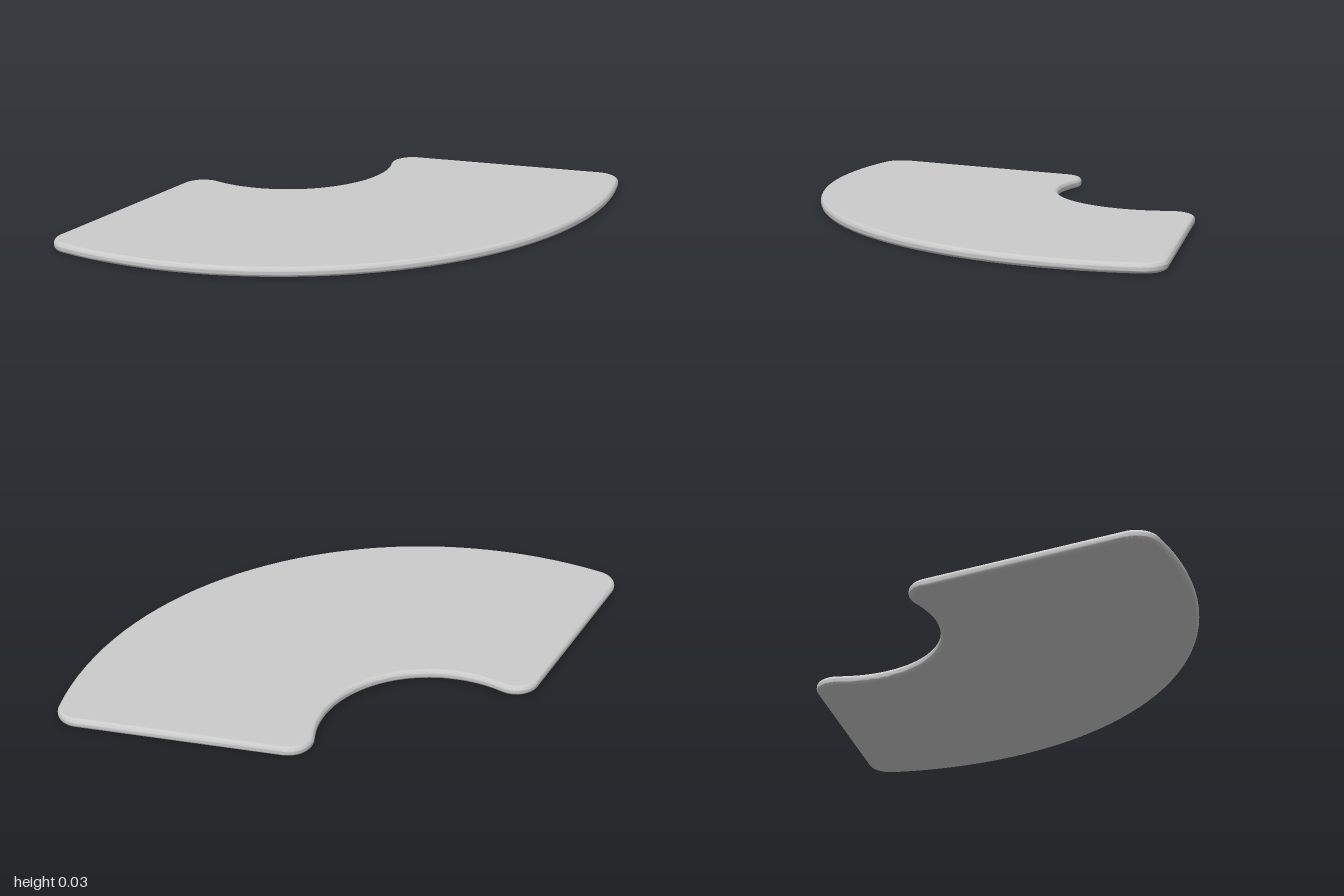
import * as THREE from 'three';
import { toCreasedNormals } from 'three/addons/utils/BufferGeometryUtils.js';

const HEIGHT = 0.033;
const BEVEL = 0.0145;
const FILLET = 0.08;

// Ring-sector outline with filleted corners, mirrored about x = 0
function sectorShape() {
  const hub = new THREE.Vector2(0, 0.654); // centre of both arcs
  const inner = new THREE.Vector2(0.395, 0.453); // inner fillet centre
  const outer = new THREE.Vector2(0.92, 0.05); // outer fillet centre

  const side = Math.atan2(outer.x - inner.x, inner.y - outer.y); // normal of the straight side
  const outerAngle = Math.atan2(outer.y - hub.y, outer.x);
  const innerAngle = Math.atan2(inner.y - hub.y, inner.x);
  const outerRadius = outer.distanceTo(hub) + FILLET;
  const innerRadius = inner.distanceTo(hub) - FILLET;

  const path = new THREE.Path();
  path.absarc(0, hub.y, outerRadius, -Math.PI - outerAngle, outerAngle, false);
  path.absarc(outer.x, outer.y, FILLET, outerAngle, side, false);
  path.absarc(inner.x, inner.y, FILLET, side, Math.PI + innerAngle, false);
  path.absarc(0, hub.y, innerRadius, innerAngle, -Math.PI - innerAngle, true);
  path.absarc(-inner.x, inner.y, FILLET, -innerAngle, Math.PI - side, false);
  path.absarc(-outer.x, outer.y, FILLET, Math.PI - side, Math.PI - outerAngle, false);

  // Drop coincident points where the arcs meet
  const all = path.getPoints(20);
  return new THREE.Shape(all.filter((p, i) => p.distanceTo(all[(i + 1) % all.length]) > 1e-4));
}

export function createModel() {
  const group = new THREE.Group();
  group.name = 'curvedPanel';

  // Thin slab with a rounded rim
  let geometry = new THREE.ExtrudeGeometry(sectorShape(), {
    depth: HEIGHT - 2 * BEVEL,
    bevelThickness: BEVEL,
    bevelSize: BEVEL,
    bevelOffset: -BEVEL,
    bevelSegments: 6,
  });
  geometry.rotateX(-Math.PI / 2);
  geometry.center();
  geometry.translate(0, HEIGHT / 2, 0);
  geometry = toCreasedNormals(geometry, 0.7);

  // Keep the top and bottom faces perfectly flat in shading
  const { position, normal } = geometry.attributes;
  for (let i = 0; i < position.count; i++) {
    const y = position.getY(i);
    if (y < 1e-5) normal.setXYZ(i, 0, -1, 0);
    else if (y > HEIGHT - 1e-5) normal.setXYZ(i, 0, 1, 0);
  }

  const slab = new THREE.Mesh(geometry, new THREE.MeshStandardMaterial({ color: 0xcccccc }));
  slab.name = 'slab';
  group.add(slab);
  return group;
}
